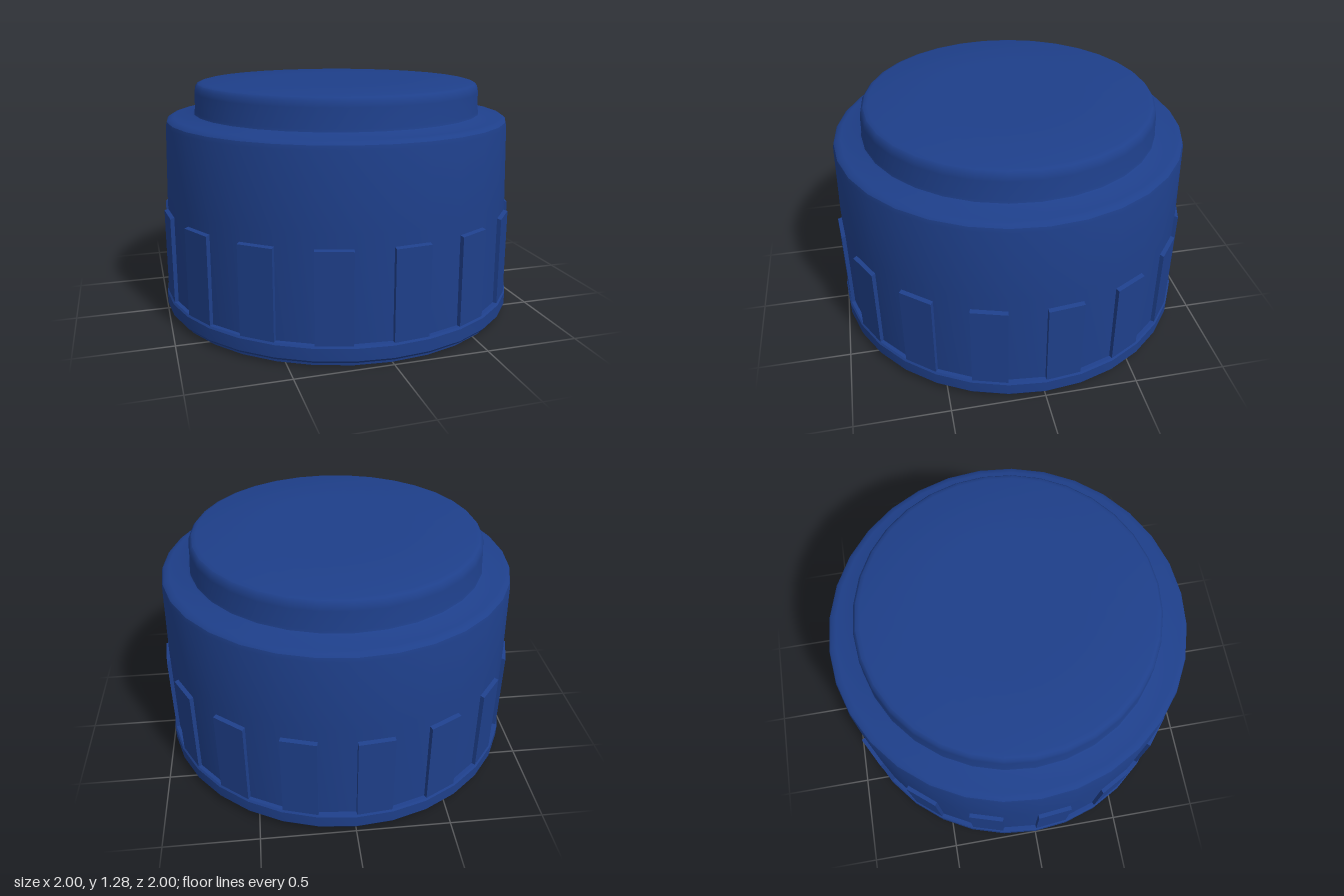
import * as THREE from 'three';
import { toCreasedNormals } from 'three/addons/utils/BufferGeometryUtils.js';

const SIDES = 32;
const RIBS = 16;

export function createModel() {
  const group = new THREE.Group();
  group.name = 'screwCap';
  const blue = new THREE.MeshStandardMaterial({ color: 0x1e3f8a });

  const add = (name, geometry, parent = group) => {
    const mesh = new THREE.Mesh(toCreasedNormals(geometry, 0.6), blue);
    mesh.name = name;
    parent.add(mesh);
    return mesh;
  };
  const lathe = (points) =>
    new THREE.LatheGeometry(points.map(([r, y]) => new THREE.Vector2(r, y)), SIDES);

  // Outside: base flange, slightly tapered wall, shoulder and raised top
  add('outerShell', lathe([
    [0.97, 0], [0.972, 0.02], [0.99, 0.022], [1, 0.035], [1, 0.1], [0.992, 0.11],
    [0.972, 0.112], [0.97, 0.66], [0.958, 1.05], [0.953, 1.072], [0.94, 1.084], [0.915, 1.09],
    [0.815, 1.1], [0.804, 1.106], [0.8, 1.12], [0.797, 1.22], [0.791, 1.25],
    [0.778, 1.266], [0.755, 1.273], [0.4, 1.278], [0, 1.28],
  ]));

  // Inside: ceiling, wall with three thread ridges, bottom rim
  const inner = [[0, 0.87], [0.84, 0.87]];
  for (const y of [0.6, 0.35, 0.1]) {
    inner.push([0.845, y + 0.07], [0.81, y + 0.035], [0.8, y + 0.015], [0.81, y - 0.005], [0.845, y - 0.035]);
  }
  inner.push([0.85, 0], [0.97, 0]);
  add('threadedInside', lathe(inner));

  // Grip ribs: boxes bent onto the wall, each one side of the polygon wide
  const ribs = new THREE.Group();
  ribs.name = 'gripRibs';
  group.add(ribs);
  const step = (Math.PI * 2) / SIDES;
  for (let i = 0; i < RIBS; i++) {
    const geometry = new THREE.BoxGeometry(1, 1, 1);
    const pos = geometry.attributes.position;
    for (let v = 0; v < pos.count; v++) {
      const outer = pos.getZ(v) > 0;
      const angle = step * (2 * i + 0.5 + pos.getX(v) * (outer ? 0.97 : 1));
      const radius = outer ? 0.992 : 0.955;
      const y = pos.getY(v) > 0 ? (outer ? 0.582 : 0.592) : 0.1;
      pos.setXYZ(v, radius * Math.sin(angle), y, radius * Math.cos(angle));
    }
    add('gripRib', geometry, ribs);
  }
  return group;
}
